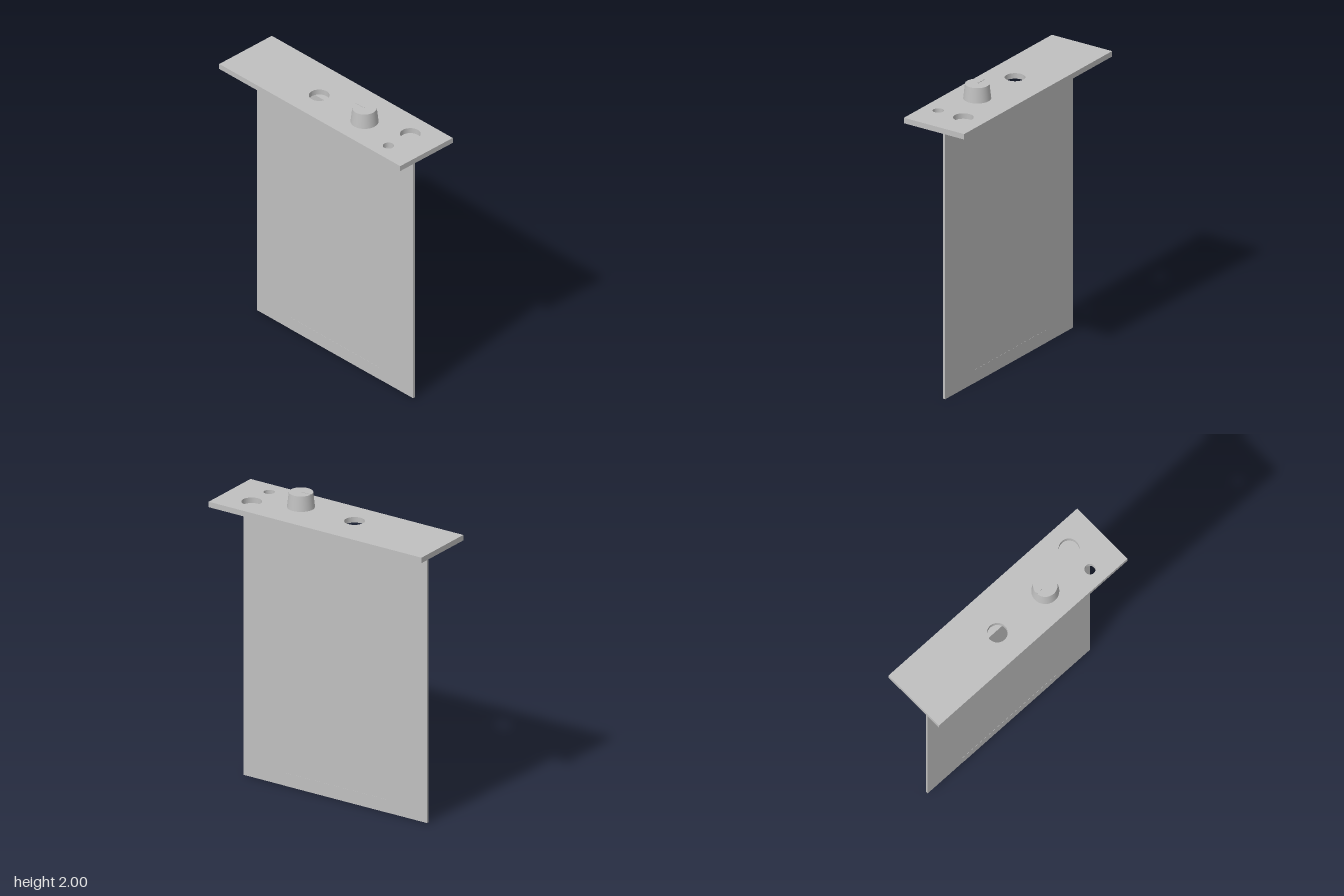
import * as THREE from 'three';

export function createModel() {
  const model = new THREE.Group();
  model.name = 'panelModule';
  const grey = new THREE.MeshStandardMaterial({ color: 0xbfbfbf });
  grey.name = 'light grey';

  const add = (name, geometry, x, y, z) => {
    const mesh = new THREE.Mesh(geometry, grey);
    mesh.name = name;
    mesh.position.set(x, y, z);
    model.add(mesh);
    return mesh;
  };
  const box = (name, w, h, d, x, y, z) => add(name, new THREE.BoxGeometry(w, h, d), x, y, z);

  // Face plate with three round holes: [x, z, radius]
  const W = 0.23, L = 0.812;
  const outline = new THREE.Shape([
    new THREE.Vector2(-W, -L), new THREE.Vector2(W, -L),
    new THREE.Vector2(W, L), new THREE.Vector2(-W, L),
  ]);
  for (const [x, z, r] of [[-0.03, -0.12, 0.065], [-0.12, 0.593, 0.035], [0.072, 0.593, 0.065]]) {
    const hole = new THREE.Path();
    hole.absarc(x, -z, r, 0, Math.PI * 2, true);
    outline.holes.push(hole);
  }
  const plate = new THREE.ExtrudeGeometry(outline, { depth: 0.037, bevelEnabled: false, curveSegments: 32 });
  plate.rotateX(-Math.PI / 2);
  add('facePlate', plate, 0, 1.86, 0);

  // Circuit board and the mounting flange along its top edge
  box('board', 0.016, 1.845, 1.4, 0, 0.9225, 0);
  box('flange', 0.148, 0.015, 1.4, 0.066, 1.8525, 0);

  // Thin contact strips on both faces at the bottom edge
  for (const side of [-1, 1]) {
    box('contactStrip', 0.001, 0.088, 0.8, side * 0.0085, 0.044, 0);
  }

  // Tapered knob with a pointer mark on its cap
  add('knob', new THREE.CylinderGeometry(0.077, 0.088, 0.1, 48), -0.033, 1.947, 0.29);
  box('pointer', 0.008, 0.003, 0.07, -0.033, 1.9985, 0.25);

  return model;
}
